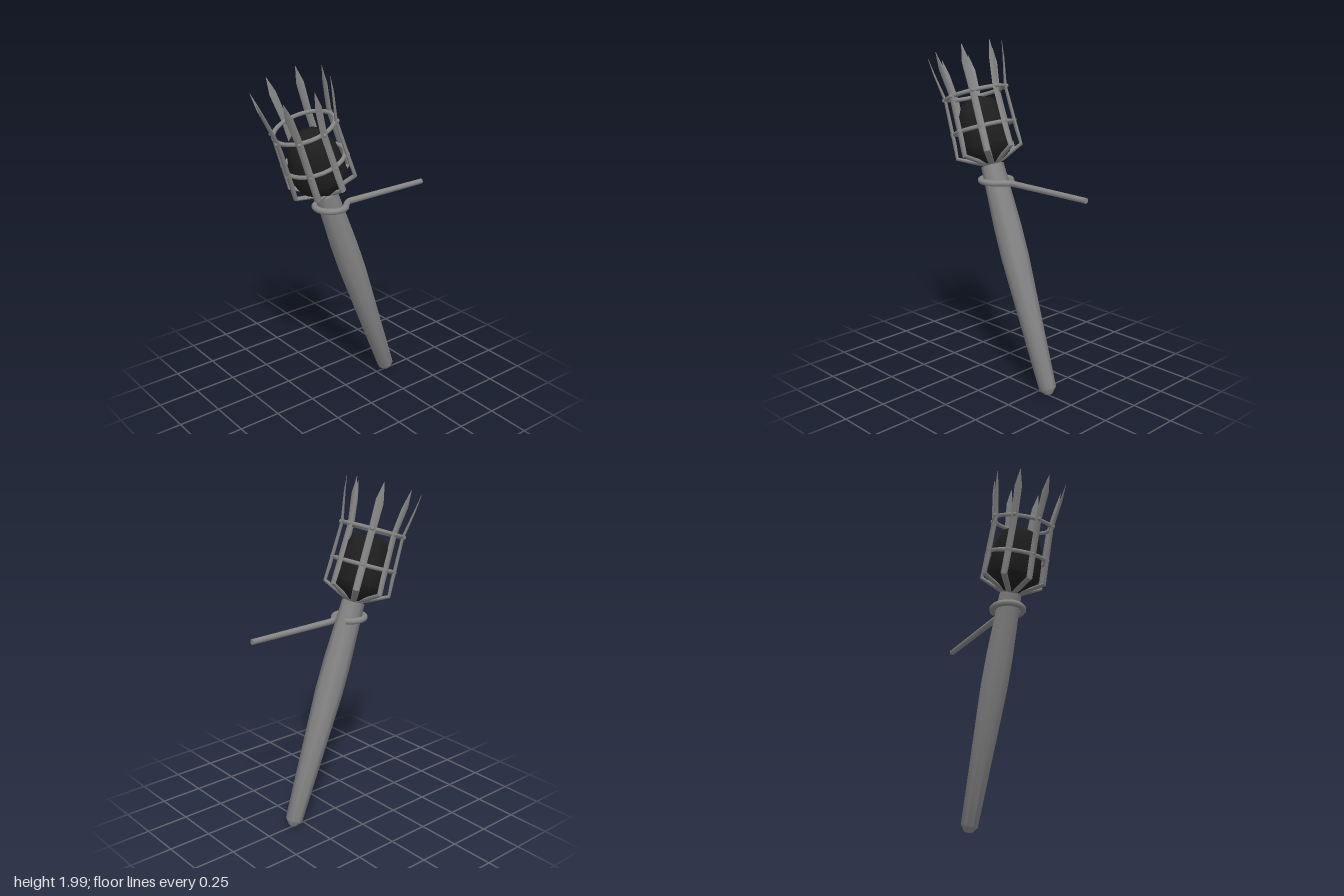
import * as THREE from 'three';
import { toCreasedNormals } from 'three/addons/utils/BufferGeometryUtils.js';

const iron = new THREE.MeshStandardMaterial({ color: 0x868686 });
const dark = new THREE.MeshStandardMaterial({ color: 0x1e1e1e });

function part(name, geometry, material = iron) {
  const mesh = new THREE.Mesh(geometry, material);
  mesh.name = name;
  return mesh;
}

function lathe(points, sides, crease) {
  const profile = points.map(([r, y]) => new THREE.Vector2(r, y));
  return toCreasedNormals(new THREE.LatheGeometry(profile, sides), crease);
}

// Flat bar lofted along stations [radius, height, half width, half thickness]
function barGeometry(stations) {
  const sides = 8, pos = [], index = [];
  stations.forEach(([r, y, w, th], i) => {
    const a = stations[Math.max(i - 1, 0)];
    const b = stations[Math.min(i + 1, stations.length - 1)];
    const len = Math.hypot(b[0] - a[0], b[1] - a[1]);
    const nz = (b[1] - a[1]) / len, ny = -(b[0] - a[0]) / len;
    for (let j = 0; j < sides; j++) {
      const t = (j / sides) * Math.PI * 2, s = Math.sin(t) * th;
      pos.push(Math.cos(t) * w, y + ny * s, r + nz * s);
      if (i === 0) continue;
      const k = (j + 1) % sides, p = (i - 1) * sides, q = i * sides;
      index.push(p + j, q + k, p + k, p + j, q + j, q + k);
    }
  });
  const g = new THREE.BufferGeometry();
  g.setAttribute('position', new THREE.Float32BufferAttribute(pos, 3));
  g.setIndex(index);
  return toCreasedNormals(g, 0.8);
}

export function createModel() {
  const model = new THREE.Group();
  model.name = 'wallTorch';

  // Everything on the leaning axis
  const torch = new THREE.Group();
  torch.name = 'torch';
  torch.position.set(0, 0.01, -0.317);
  torch.rotation.x = 0.34;
  model.add(torch);

  // Tapered handle with a bevelled foot, hung from the cage base at a slightly steeper lean
  const handle = part('handle', lathe([
    [0, -1.36], [0.022, -1.36], [0.05, -1.325], [0.08, -0.54], [0.079, -0.36], [0.066, 0], [0, 0],
  ], 8, 0.9));
  handle.position.y = 1.36;
  handle.rotation.x = 0.01;
  torch.add(handle);

  // Fuel lump inside the cage
  torch.add(part('fuel', lathe([
    [0, 1.36], [0.06, 1.372], [0.118, 1.412], [0.153, 1.47], [0.15, 1.55],
    [0.135, 1.65], [0.1, 1.725], [0, 1.767],
  ], 10, 0.75), dark));

  // Cage hoops
  const hoops = [1.577, 1.78];
  for (const y of hoops) {
    const hoop = part('cageHoop', new THREE.TorusGeometry(0.169, 0.012, 8, 32));
    hoop.rotation.x = Math.PI / 2;
    hoop.position.y = y;
    torch.add(hoop);
  }

  // Eight bent bars ending in spear points, riveted to the hoops
  const bar = barGeometry([
    [0.03, 1.366, 0.018, 0.012], [0.08, 1.386, 0.018, 0.012],
    [0.188, 1.437, 0.02, 0.011], [0.183, 1.525, 0.02, 0.011],
    [0.177, 1.78, 0.02, 0.009], [0.205, 1.94, 0.022, 0.005],
    [0.217, 2.034, 0.001, 0.001],
  ]);
  const rivetShape = new THREE.SphereGeometry(0.012, 8, 6);
  for (let i = 0; i < 8; i++) {
    const spoke = new THREE.Group();
    spoke.name = 'cageBar';
    spoke.rotation.y = (i * Math.PI) / 4;
    spoke.add(part('spike', bar));
    for (const y of hoops) {
      const rivet = part('rivet', rivetShape);
      rivet.position.set(0, y, 0.184);
      spoke.add(rivet);
    }
    torch.add(spoke);
  }

  // Level bracket: straight rod curling into an open loop round the handle
  const path = [[0, -0.05], [0.004, -0.02]];
  for (let i = 0; i <= 12; i++) {
    const a = THREE.MathUtils.degToRad(150 - i * 24.6);
    path.push([Math.sin(a) * 0.088, 0.105 + Math.cos(a) * 0.088]);
  }
  const curve = new THREE.CatmullRomCurve3(path.map(([x, z]) => new THREE.Vector3(x, 1.207, z)));
  model.add(part('bracketLoop', new THREE.TubeGeometry(curve, 64, 0.018, 10)));
  const endCap = part('loopEnd', new THREE.CircleGeometry(0.018, 10));
  endCap.position.copy(curve.getPoint(1));
  endCap.lookAt(curve.getPoint(1).add(curve.getTangent(1)));
  model.add(endCap);

  const rod = part('bracketRod', new THREE.CylinderGeometry(0.018, 0.016, 0.53, 10));
  rod.rotation.x = Math.PI / 2;
  rod.position.set(0, 1.207, -0.31);
  model.add(rod);

  return model;
}
